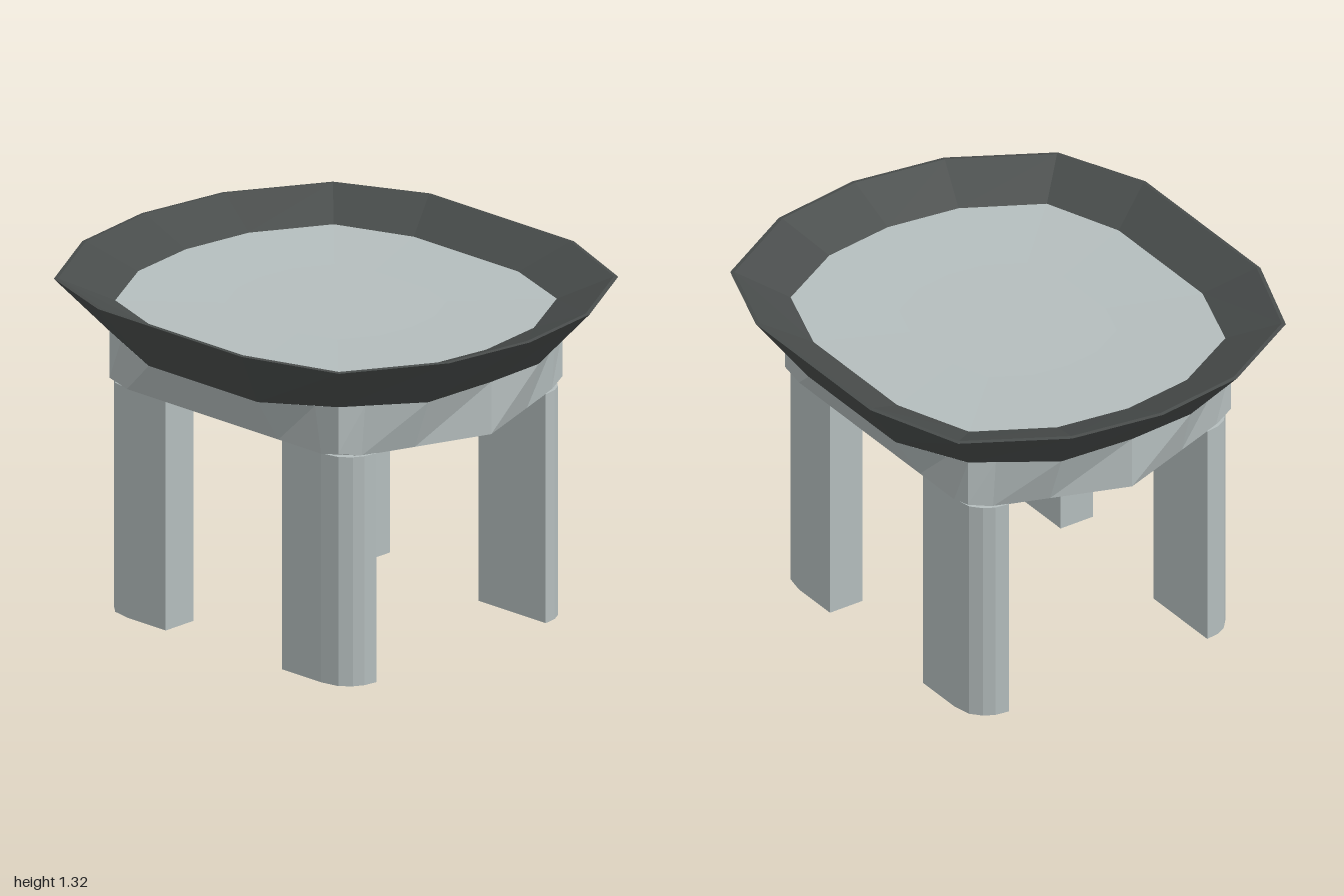
import * as THREE from 'three';

// Mirror a quarter outline [x, y, z] (starting at x = 0, front) into a full loop.
function fullLoop(q) {
  const rest = q.slice(1);
  const flip = (pts, sx, sz) => pts.map(([x, y, z]) => [x * sx, y, z * sz]);
  return [
    ...q,
    ...flip([...rest].reverse(), 1, -1),
    ...flip([q[0]], 1, -1),
    ...flip(rest, -1, -1),
    ...flip([...rest].reverse(), -1, 1),
  ];
}

// Skin consecutive loops with flat facets.
function skin(loops) {
  const pos = [];
  for (let k = 0; k < loops.length - 1; k++) {
    const a = loops[k], b = loops[k + 1], n = a.length;
    for (let i = 0; i < n; i++) {
      const j = (i + 1) % n;
      pos.push(...a[i], ...a[j], ...b[j], ...a[i], ...b[j], ...b[i]);
    }
  }
  const g = new THREE.BufferGeometry();
  g.setAttribute('position', new THREE.Float32BufferAttribute(pos, 3));
  g.computeVertexNormals();
  return g;
}

// Shrink a loop toward the axis at a given height.
const inset = (loop, s, y) => loop.map(([x, , z]) => [x * s, y, z * s]);

export function createModel() {
  const group = new THREE.Group();
  const grey = new THREE.MeshStandardMaterial({ color: 0xb4bdbd, flatShading: true, side: THREE.DoubleSide });
  grey.name = 'paleGrey';
  const dark = new THREE.MeshStandardMaterial({ color: 0x484c4b, flatShading: true, side: THREE.DoubleSide });
  dark.name = 'darkGrey';
  const add = (name, geometry, material) => {
    const mesh = new THREE.Mesh(geometry, material);
    mesh.name = name;
    group.add(mesh);
  };

  // Flared dark rim: outer wall, thin lip, inner wall
  const wallFoot = fullLoop([[0, 1.1, 0.8], [0.29, 1.085, 0.76], [0.59, 1.1, 0.59], [0.7, 1.07, 0.28]]);
  const rimEdge = fullLoop([[0, 1.305, 1], [0.37, 1.305, 0.945], [0.735, 1.305, 0.735], [0.875, 1.315, 0.37]]);
  const lip = rimEdge.map(([x, y, z]) => [x * 0.985, y + 0.002, z * 0.985]);
  const seatEdge = fullLoop([[0, 1.22, 0.775], [0.29, 1.22, 0.735], [0.575, 1.22, 0.575], [0.685, 1.22, 0.27]]);
  add('rim', skin([wallFoot, rimEdge, lip, seatEdge]), dark);

  // Slightly dished seat panel
  add('seat', skin([seatEdge, inset(seatEdge, 0.5, 1.21), inset(seatEdge, 0, 1.21)]), grey);

  // Apron with small bevels under its corners
  const top = fullLoop([[0, 1.1, 0.8], [0.29, 1.085, 0.76], [0.5, 1.095, 0.64],
    [0.59, 1.1, 0.59], [0.622, 1.091, 0.5], [0.7, 1.07, 0.28]]);
  const bottom = fullLoop([[0, 0.895, 0.8], [0.295, 0.895, 0.695], [0.5, 0.895, 0.622],
    [0.59, 0.917, 0.59], [0.59, 0.895, 0.5], [0.59, 0.895, 0.28]]);
  const under = fullLoop([[0, 0.895, 0.8], [0.295, 0.895, 0.695], [0.5, 0.895, 0.622],
    [0.545, 0.895, 0.561], [0.59, 0.895, 0.5], [0.59, 0.895, 0.28]]);
  add('apron', skin([inset(under, 0, 0.895), under, bottom, top]), grey);

  // Four legs, rounded on the outer corner
  const section = [[0.445, 0.3], [0.59, 0.3], [0.59, 0.5], [0.575, 0.575],
    [0.54, 0.615], [0.5, 0.637], [0.445, 0.645]];
  for (const [sx, sz, name] of [[1, 1, 'frontLeftLeg'], [-1, 1, 'frontRightLeg'],
    [1, -1, 'backLeftLeg'], [-1, -1, 'backRightLeg']]) {
    const shape = new THREE.Shape(section.map(([x, z]) => new THREE.Vector2(x * sx, -z * sz)));
    const leg = new THREE.ExtrudeGeometry(shape, { depth: 0.897, bevelEnabled: false });
    leg.rotateX(-Math.PI / 2);
    add(name, leg, grey);
  }
  return group;
}
